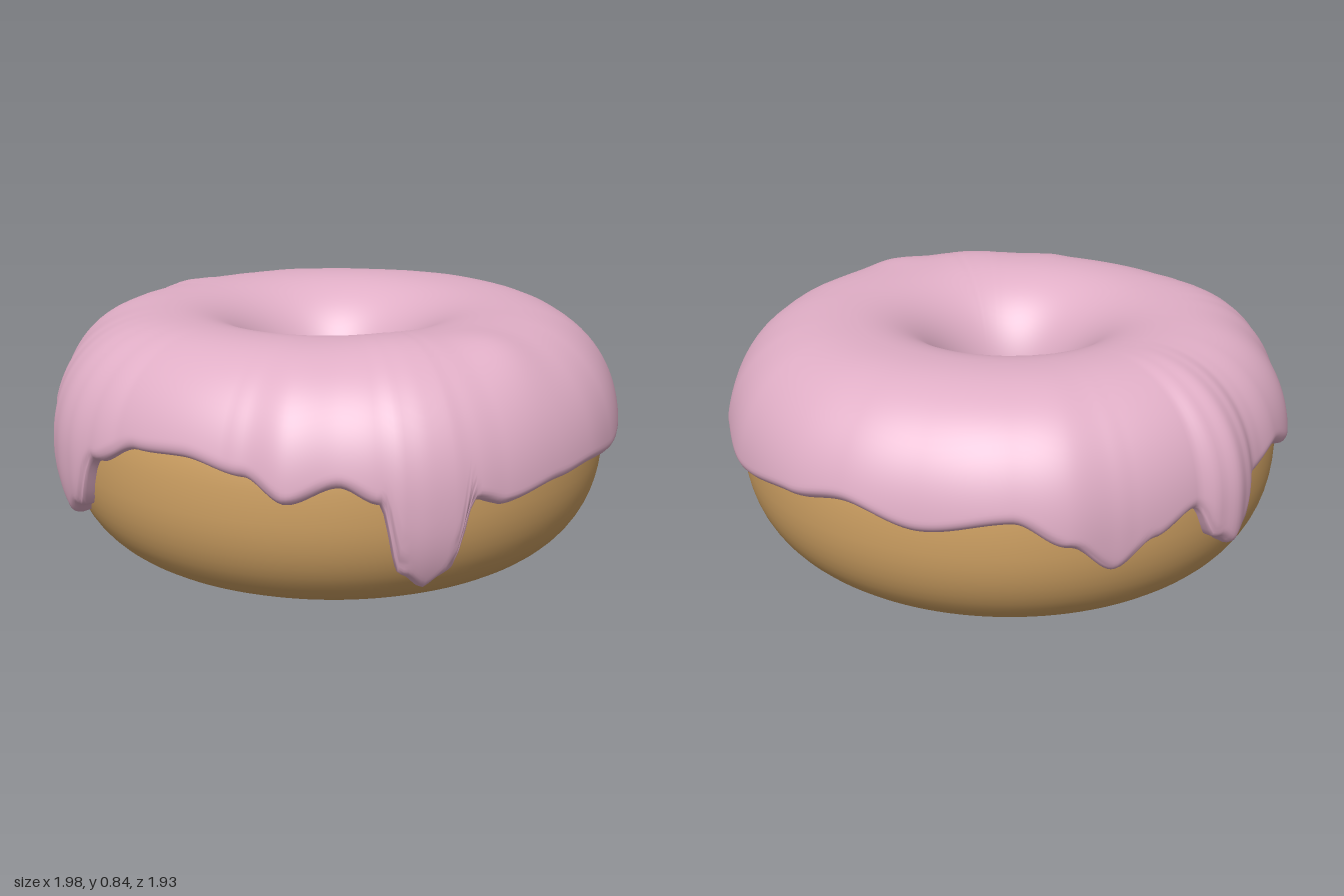
import * as THREE from 'three';

const N = 2.25;        // squareness of the ring's cross-section
const MID = 0.4;       // half height of the dough
const COLS = 432;
const TAU = Math.PI * 2;

// Icing hem around the ring: [angle in degrees from +x towards +z, hem height, outline radius]
const HEM = [
  [0, 0.41, 0.995], [10, 0.42, 1.0], [20, 0.41, 1.0], [33, 0.38, 1.005], [39, 0.41, 1.01],
  [43, 0.2, 1.015], [47.5, 0.15, 1.015], [52, 0.2, 1.01], [56, 0.42, 1.0], [63, 0.47, 0.995],
  [72, 0.42, 1.01], [80, 0.49, 0.985], [92, 0.525, 0.968], [103, 0.515, 0.975], [114, 0.44, 1.0],
  [121, 0.26, 1.015], [126, 0.21, 1.02], [131, 0.3, 1.015], [138, 0.49, 1.0], [148, 0.5, 0.985],
  [161, 0.42, 1.0], [172, 0.48, 0.99], [182, 0.45, 0.975], [187, 0.31, 1.0], [191, 0.27, 1.015],
  [195, 0.31, 1.0], [200, 0.43, 0.97], [209, 0.37, 0.965], [217, 0.29, 0.97], [226, 0.39, 0.985],
  [236, 0.47, 0.975], [253, 0.43, 0.97], [268, 0.48, 0.985], [280, 0.45, 0.993], [298, 0.42, 0.985],
  [313, 0.46, 0.975], [323, 0.41, 0.97], [342, 0.45, 0.98], [360, 0.41, 0.995],
];

// Smooth lookup in the hem table
function hem(az, column) {
  const deg = (az / TAU) * 360;
  const k = HEM.findIndex((row) => row[0] > deg);
  const [a, b] = [HEM[k - 1], HEM[k]];
  const f = THREE.MathUtils.smoothstep(deg, a[0], b[0]);
  return a[column] + (b[column] - a[column]) * f;
}

const signedPow = (v, p) => Math.sign(v) * Math.abs(v) ** p;
const outerRadius = (az) => 0.938 - 0.01 * Math.cos(az) + 0.015 * Math.sin(az);
const innerRadius = (az) => 0.198 - 0.01 * Math.cos(az) + 0.03 * Math.sin(az);

// Point on the dough surface, pushed out along its normal by "lift"; t = 0 is the outer rim
function ringPoint(az, t, lift = 0) {
  const half = (outerRadius(az) - innerRadius(az)) / 2;
  const u = signedPow(Math.cos(t), 2 / N);
  const v = signedPow(Math.sin(t), 2 / N);
  const n = new THREE.Vector2(signedPow(u, N - 1) / half, signedPow(v, N - 1) / MID).normalize();
  const r = innerRadius(az) + half + half * u + n.x * lift;
  return new THREE.Vector3(r * Math.cos(az), MID + MID * v + n.y * lift, r * Math.sin(az));
}

// Surface closed around the ring from a rule point(column, row)
function sweep(cols, rows, closedRows, point) {
  const positions = [];
  const index = [];
  for (let i = 0; i < cols; i++) {
    for (let j = 0; j < rows; j++) positions.push(...point(i, j).toArray());
  }
  for (let i = 0; i < cols; i++) {
    for (let j = 0; j < (closedRows ? rows : rows - 1); j++) {
      const i2 = (i + 1) % cols;
      const j2 = (j + 1) % rows;
      const [a, b, c, d] = [i * rows + j, i * rows + j2, i2 * rows + j2, i2 * rows + j];
      index.push(a, b, d, b, c, d);
    }
  }
  const geometry = new THREE.BufferGeometry();
  geometry.setAttribute('position', new THREE.Float32BufferAttribute(positions, 3));
  geometry.setIndex(index);
  geometry.computeVertexNormals();
  return geometry;
}

function doughGeometry() {
  return sweep(128, 64, true, (i, j) => ringPoint((i / 128) * TAU, (j / 64) * TAU));
}

function icingGeometry() {
  const rows = 56;
  const hems = Array.from({ length: COLS }, (_, i) => hem((i / COLS) * TAU, 1));
  const angleAt = (y) => Math.asin(signedPow((y - MID) / MID, N / 2));
  return sweep(COLS, rows, false, (i, j) => {
    const az = (i / COLS) * TAU;
    const start = angleAt(hems[i]);
    const end = Math.PI - angleAt(0.44 + 0.015 * Math.sin(az * 7) + 0.01 * Math.sin(az * 4 + 1));
    // Rows crowd towards both edges for round lips
    const f = j / (rows - 1);
    const t = start + (end - start) * (f - (0.75 * Math.sin(TAU * f)) / TAU);
    const p = ringPoint(az, t);
    // Distance to the nearest point of the hem
    let edge = (end - t) * 0.4;
    if (t < Math.PI / 2) {
      for (let k = -8; k <= 8; k++) {
        const dx = (k / COLS) * TAU * 0.94;
        const dy = Math.max(0, p.y - hems[(i + k + COLS) % COLS]);
        edge = Math.min(edge, Math.hypot(dx, dy));
      }
    }
    const lip = THREE.MathUtils.clamp(edge / 0.04, 0, 1);
    const round = Math.sqrt(1 - (1 - lip) ** 2);
    // Thicker outside, thinner in the hole, with a soft lump on the top
    const c = Math.cos(t);
    const outside = Math.max(0, c) ** 1.3;
    const swell = Math.max(0.03, hem(az, 2) - outerRadius(az));
    const lump = 0.018 * Math.exp(-((p.x - 0.7) ** 2 + (p.z - 0.3) ** 2) / 0.012)
      + 0.01 * Math.exp(-((p.x - 0.45) ** 2 + (p.z - 0.45) ** 2) / 0.02);
    const thick = 0.03 + outside * (swell - 0.03) - 0.015 * Math.max(0, -c) + lump;
    return ringPoint(az, t, thick * round - 0.003);
  });
}

export function createModel() {
  const group = new THREE.Group();
  group.name = 'donut';
  const add = (name, geometry, color) => {
    const material = new THREE.MeshStandardMaterial({ color });
    const mesh = new THREE.Mesh(geometry, material);
    mesh.name = name;
    group.add(mesh);
  };
  add('dough', doughGeometry(), 0xcfa163);
  add('icing', icingGeometry(), 0xe0aec6);
  group.getObjectByName('icing').material.side = THREE.DoubleSide;
  return group;
}
